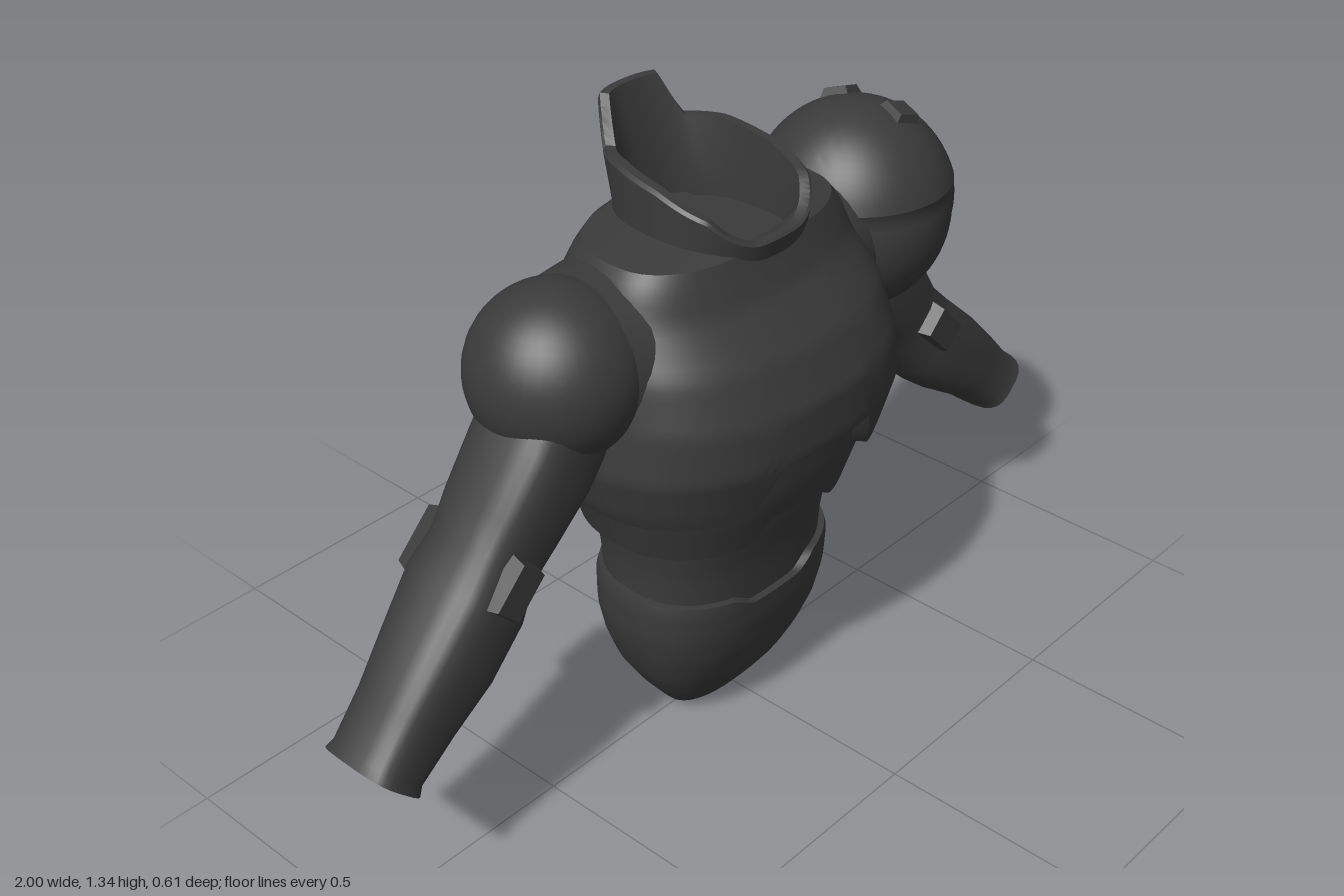
import * as THREE from 'three';
import { toCreasedNormals } from 'three/addons/utils/BufferGeometryUtils.js';

const V = (x, y, z) => new THREE.Vector3(x, y, z);
const COLS = 96;

// Skin a list of closed rings, first ring to last
function loft(rings) {
  const n = rings[0].length, pos = [], idx = [];
  rings.forEach(r => r.forEach(p => pos.push(p.x, p.y, p.z)));
  for (let i = 0; i < rings.length - 1; i++) {
    for (let j = 0; j < n; j++) {
      const a = i * n + j, c = i * n + (j + 1) % n, b = a + n, d = c + n;
      idx.push(a, c, b, c, d, b);
    }
  }
  const g = new THREE.BufferGeometry();
  g.setAttribute('position', new THREE.Float32BufferAttribute(pos, 3));
  g.setIndex(idx);
  return toCreasedNormals(g, 0.6);
}

// Unit superellipse point
function oval(t, e) {
  const f = v => Math.sign(v) * Math.pow(Math.abs(v), 2 / e);
  return [f(Math.cos(t)), f(Math.sin(t))];
}

// Straight-line interpolation in rows sorted by first entry, descending
function sample(rows, y) {
  if (y >= rows[0][0]) return rows[0].slice(1);
  for (let i = 1; i < rows.length; i++) {
    if (y >= rows[i][0]) {
      const a = rows[i - 1], b = rows[i], k = (a[0] - y) / (a[0] - b[0]);
      return a.slice(1).map((v, m) => v + (b[m + 1] - v) * k);
    }
  }
  return rows[rows.length - 1].slice(1);
}

// Point on a body shell whose rows are [y, half width, front z, back z]
function onShell(rows, y, t, e, k = 1) {
  const [w, zf, zb] = sample(rows, y), [c, s] = oval(t, e);
  return V(c * w * k, y, (s > 0 ? s * zf : -s * zb) * k);
}

// Body shell between two edge functions, with inward lips
function shell(rows, top, bottom, e, n, lipTop, lipBottom) {
  const mid = (rows[0][0] + rows[rows.length - 1][0]) / 2;
  const ring = (f, k = 1) => Array.from({ length: COLS }, (_, j) => {
    const t = j / COLS * Math.PI * 2, q = onShell(rows, mid, t, e);
    const a = top(q.x, q.z), b = bottom(q.x, q.z);
    return onShell(rows, a + (b - a) * f, t, e, k);
  });
  const rings = [];
  if (lipTop) rings.push(ring(0, lipTop));
  for (let i = 0; i <= n; i++) rings.push(ring(i / n));
  if (lipBottom !== undefined) rings.push(ring(1, lipBottom));
  return loft(rings);
}

// Ramp from a to b while |x| goes from x0 to x1
const step = (x, x0, x1, a, b) => a + (b - a) * THREE.MathUtils.clamp((Math.abs(x) - x0) / (x1 - x0), 0, 1);

export function createModel() {
  const model = new THREE.Group();
  model.name = 'armourTorso';
  const dark = new THREE.MeshStandardMaterial({ color: 0x3a3a3a, side: THREE.DoubleSide });
  dark.name = 'charcoal';
  const add = (name, geo, parent = model) => {
    const m = new THREE.Mesh(geo, dark);
    m.name = name;
    parent.add(m);
    return m;
  };

  // Chest plate with a notched lower edge
  add('chestPlate', shell([
    [1.145, 0.155, 0.135, -0.19], [1.135, 0.27, 0.148, -0.2], [1.1, 0.3, 0.16, -0.22], [1.04, 0.325, 0.185, -0.25],
    [0.95, 0.365, 0.26, -0.28], [0.85, 0.385, 0.303, -0.3], [0.75, 0.4, 0.305, -0.305],
    [0.66, 0.378, 0.28, -0.285], [0.58, 0.34, 0.26, -0.268],
  ], () => 1.145,
  (x, z) => z > 0 ? step(x, 0.125, 0.18, 0.74, 0.63) : step(x, 0.1, 0.18, 0.59, 0.625), 2.4, 30, 0, 0.86));

  // Belly plate
  add('bellyPlate', shell([
    [0.8, 0.36, 0.27, -0.27], [0.63, 0.335, 0.25, -0.257], [0.51, 0.295, 0.213, -0.235], [0.45, 0.28, 0.2, -0.225],
  ], () => 0.8,
  (x, z) => z > 0 ? step(x, 0.095, 0.135, 0.57, 0.51) : step(x, 0.08, 0.14, 0.485, 0.51), 2.4, 8, 0, 0.85));

  // Waist
  add('waist', shell([
    [0.62, 0.28, 0.2, -0.22], [0.5, 0.265, 0.185, -0.215], [0.43, 0.25, 0.168, -0.203], [0.28, 0.248, 0.155, -0.19],
  ], () => 0.62, () => 0.28, 2.5, 8));

  // Pelvis with a dipped front rim
  add('pelvis', shell([
    [0.38, 0.258, 0.168, -0.195], [0.345, 0.268, 0.177, -0.203], [0.27, 0.267, 0.17, -0.203], [0.2, 0.25, 0.155, -0.198],
    [0.13, 0.222, 0.128, -0.187], [0.07, 0.185, 0.097, -0.16], [0.025, 0.15, 0.065, -0.125], [0.005, 0.12, 0.045, -0.1],
  ], (x, z) => z > 0 ? step(x, 0.07, 0.11, 0.325, 0.35) + step(x, 0.11, 0.25, 0, 0.015) : 0.365,
  () => 0.005, 2.5, 18, 0.9, 0));

  // Collar with a tall back guard
  const rim = [[0.3, 1.135], [0.16, 1.145], [0.1, 1.205], [0, 1.24], [-0.1, 1.258], [-0.3, 1.25]]
    .map(([z, y]) => [-z, y]).reverse();
  const collarRing = (f, inset) => Array.from({ length: COLS }, (_, j) => {
    const [c, s] = oval(j / COLS * Math.PI * 2, 2.5);
    const z0 = s > 0 ? s * 0.165 : s * 0.2;
    let top = sample(rim, -z0)[0];
    if (s < -0.6) top = Math.max(top, step(c * 0.17, 0.08, 0.115, 1.34, 1.25));
    const y = 1.05 + (top - 1.05) * f;
    const back = 0.2 + Math.max(0, y - 1.15) * 0.27, front = 0.148 + Math.max(0, y - 1.06) * 0.25;
    return V(c * (0.168 - inset), y, s * ((s > 0 ? front : back) - inset));
  });
  add('collar', loft([collarRing(0, 0), collarRing(0.5, 0), collarRing(0.96, 0), collarRing(1, 0.006),
    collarRing(1, 0.024), collarRing(0.5, 0.03), collarRing(0.2, 0.03)]));
  const floor = add('collarFloor', new THREE.CircleGeometry(1, 48));
  floor.rotation.x = -Math.PI / 2;
  floor.scale.set(0.15, 0.18, 1);
  floor.position.set(0, 1.09, -0.025);

  // Arm sections: [x, y, half width, half depth, centre z]
  const armRows = [
    [0.4, 0.9, 0.11, 0.115, -0.035], [0.49, 0.8, 0.107, 0.115, -0.025], [0.57, 0.71, 0.097, 0.108, -0.025],
    [0.62, 0.65, 0.09, 0.1, -0.025], [0.67, 0.587, 0.1, 0.112, -0.025], [0.76, 0.505, 0.1, 0.102, -0.01],
    [0.85, 0.432, 0.085, 0.09, 0], [0.93, 0.362, 0.071, 0.088, 0.004], [0.945, 0.348, 0.075, 0.095, 0.005],
    [0.945, 0.348, 0.058, 0.075, 0.005], [0.9, 0.39, 0.052, 0.068, 0.005], [0.9, 0.39, 0, 0, 0.005],
  ];
  for (const s of [1, -1]) {
    const side = s > 0 ? 'left' : 'right';
    const rings = armRows.map(([x, y, hn, hz, zc]) => {
      const r = Array.from({ length: 24 }, (_, j) => {
        const [c, q] = oval((j + 0.5) / 24 * Math.PI * 2, 3.2);
        return V(s * (x + c * hn * 0.707), y + c * hn * 0.707, zc + q * hz);
      });
      return s > 0 ? r : r.reverse();
    });
    add(side + 'Arm', loft(rings));

    // Elbow plates, front and back
    for (const [name, z, len, wide] of [['FrontElbowPlate', 0.078, 0.125, 0.085], ['BackElbowPlate', -0.13, 0.15, 0.1]]) {
      const g = new THREE.CylinderGeometry(0.56, 0.707, 1, 4, 1).rotateY(Math.PI / 4).rotateX(Math.PI / 2);
      if (z < 0) g.rotateY(Math.PI);
      const p = add(side + name, toCreasedNormals(g, 0.3));
      p.scale.set(len, wide, 0.055);
      p.rotation.z = -s * Math.PI / 4;
      p.position.set(s * 0.645, 0.637, z);
    }

    // Armhole ring on the chest
    const hole = add(side + 'ArmholeRing', toCreasedNormals(new THREE.CylinderGeometry(0.165, 0.185, 0.07, 40), 0.5));
    hole.rotation.z = -s * (Math.PI / 2 - 0.25);
    hole.position.set(s * 0.335, 0.945, -0.045);
  }

  // Plain round shoulder
  const ball = add('rightShoulder', new THREE.SphereGeometry(0.177, 40, 28));
  ball.position.set(-0.393, 0.943, -0.045);

  // Large shoulder guard: raised cap and outer band over a ball, cut off below
  const pad = new THREE.SphereGeometry(1, 64, 40), P = pad.attributes.position;
  for (let i = 0; i < P.count; i++) {
    const x = P.getX(i), y = P.getY(i), z = P.getZ(i);
    const raised = Math.acos(THREE.MathUtils.clamp(y, -1, 1)) < 1.3 || Math.abs(Math.atan2(z, x)) < 0.72;
    const k = raised ? 1 : 0.95;
    const px = 0.475 + x * k * 0.222, py = 0.965 + y * k * 0.235;
    P.setXYZ(i, px, Math.max(py, 0.72 + (px - 0.41) * 0.36), -0.04 + z * k * 0.222);
  }
  add('leftShoulderGuard', toCreasedNormals(pad, 0.5));

  // Diamond studs on the guard
  const centre = V(0.475, 0.965, -0.04);
  for (const [x, y, z] of [[0.2, 0.09, 0.005], [0.05, 0.212, 0.075], [0.05, 0.212, -0.08]]) {
    const g = new THREE.CylinderGeometry(0.036, 0.052, 0.03, 4).rotateX(Math.PI / 2);
    const stud = add('guardStud', toCreasedNormals(g, 0.3));
    stud.position.copy(centre).add(V(x, y, z));
    stud.lookAt(stud.position.clone().add(V(x, y, z)));
  }
  return model;
}
